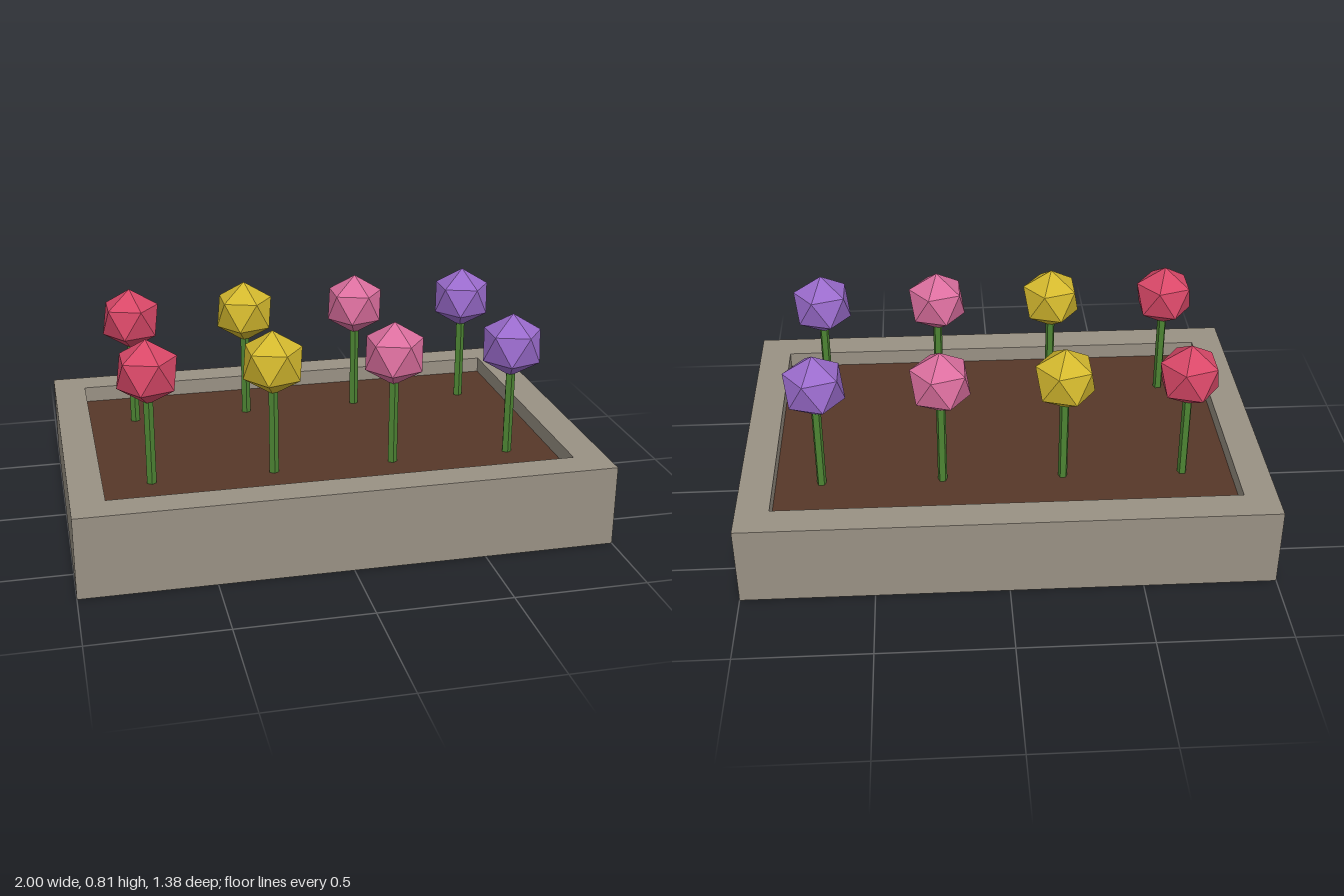
import * as THREE from 'three';

function material(name, color, flatShading = true) {
  const m = new THREE.MeshStandardMaterial({ color, flatShading });
  m.name = name;
  return m;
}

export function createModel() {
  const model = new THREE.Group();
  model.name = 'flowerBed';

  const stone = material('stone', 0x999184);
  const earth = material('earth', 0x573829);
  const green = material('stem green', 0x4d8433);
  const petals = [
    material('red', 0xd94868),
    material('yellow', 0xd4b92e),
    material('pink', 0xdc6f9f),
    material('purple', 0x9a6bcc),
  ];

  const add = (parent, name, geometry, mat, x = 0, y = 0, z = 0) => {
    const mesh = new THREE.Mesh(geometry, mat);
    mesh.name = name;
    mesh.position.set(x, y, z);
    parent.add(mesh);
  };

  // Rectangular outline, centred on the origin
  const rectangle = (Type, hw, hd) => new Type([
    new THREE.Vector2(-hw, -hd), new THREE.Vector2(hw, -hd),
    new THREE.Vector2(hw, hd), new THREE.Vector2(-hw, hd),
  ]);

  // Stone frame, open in the middle
  const outline = rectangle(THREE.Shape, 1, 0.6875);
  outline.holes.push(rectangle(THREE.Path, 0.875, 0.5625));
  const frame = new THREE.ExtrudeGeometry(outline, { depth: 0.3125, bevelEnabled: false });
  frame.rotateX(-Math.PI / 2);
  add(model, 'planterFrame', frame, stone);

  // Soil filling, a little below the rim
  add(model, 'soil', new THREE.BoxGeometry(1.75, 0.25, 1.125), earth, 0, 0.125, 0);

  // Faceted blossom with one corner pointing straight up
  const blossom = new THREE.IcosahedronGeometry(0.125, 0);
  blossom.rotateZ(-Math.atan(2 / (1 + Math.sqrt(5))));
  const stem = new THREE.CylinderGeometry(0.01875, 0.01875, 0.4, 5);

  // Two rows of flowers, one colour per column
  for (const z of [-0.3125, 0.3125]) {
    petals.forEach((petal, i) => {
      const flower = new THREE.Group();
      flower.name = 'flower';
      flower.position.set(-0.6875 + i * 0.4625, 0, z);
      add(flower, 'stem', stem, green, 0, 0.44, 0);
      add(flower, 'blossom', blossom, petal, 0, 0.6875, 0);
      model.add(flower);
    });
  }
  return model;
}
